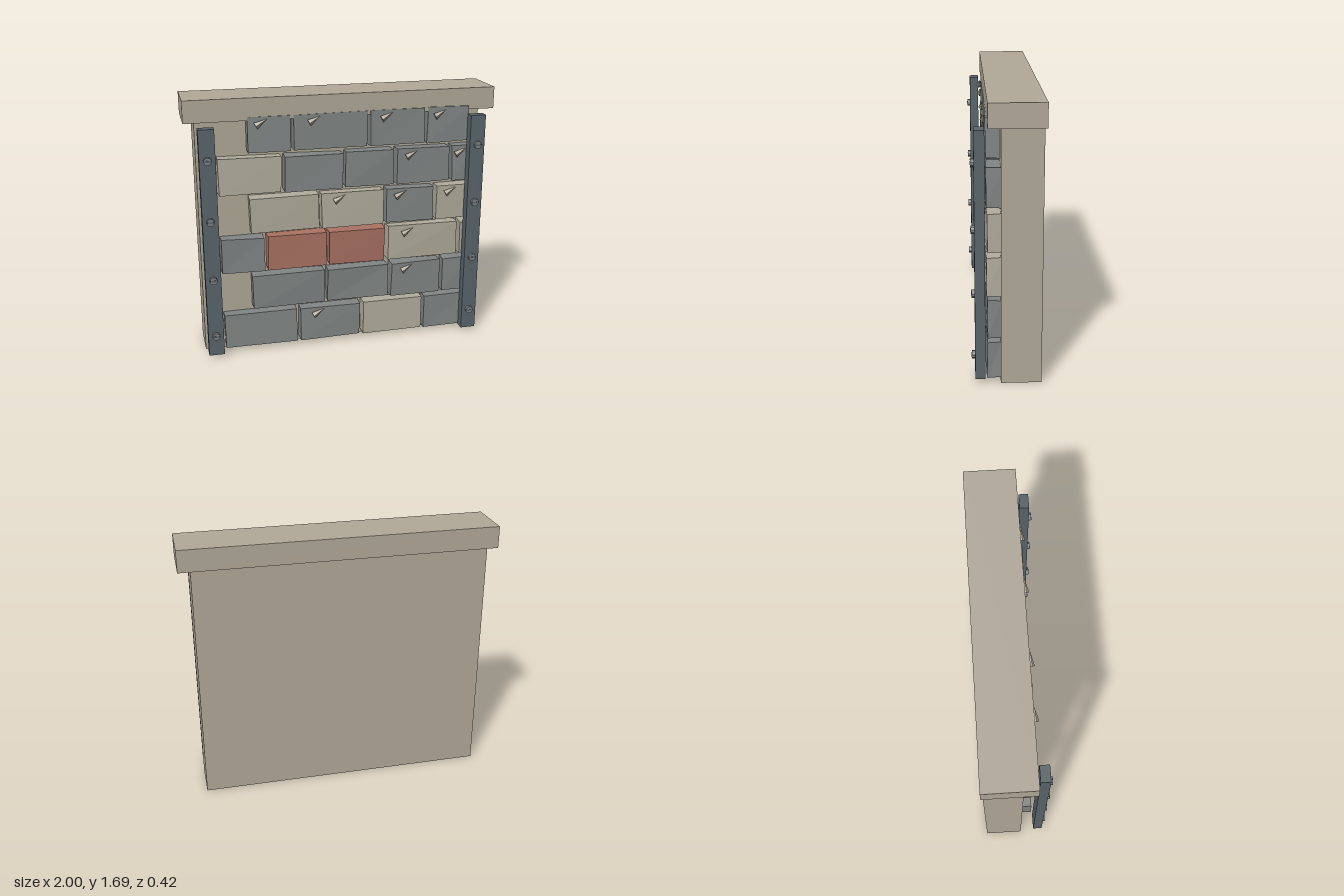
import * as THREE from 'three';

const mat = (name, color) => {
  const m = new THREE.MeshStandardMaterial({ color, flatShading: true });
  m.name = name;
  return m;
};

// small seeded random, -1..1
function seeded(seed) {
  let s = seed;
  return () => {
    s = (s * 16807) % 2147483647;
    return (s / 2147483647) * 2 - 1;
  };
}

export function createModel() {
  const group = new THREE.Group();
  const stone = mat('pale stone', 0xb1a999);
  const G = mat('grey brick', 0x818685);
  const T = mat('tan brick', 0xb1ac9c);
  const R = mat('red brick', 0xa87161);
  const iron = mat('dark iron', 0x59656b);
  const steel = mat('bolt grey', 0x7c8284);
  const rnd = seeded(4217);

  const add = (name, geo, material, x, y, z) => {
    const m = new THREE.Mesh(geo, material);
    m.name = name;
    m.position.set(x, y, z);
    group.add(m);
    return m;
  };
  const box = (name, material, x0, x1, y0, y1, z0, z1) =>
    add(name, new THREE.BoxGeometry(x1 - x0, y1 - y0, z1 - z0), material,
      (x0 + x1) / 2, (y0 + y1) / 2, (z0 + z1) / 2);

  // backing wall and coping
  box('wall', stone, -0.93, 0.925, 0, 1.55, -0.2, 0.04);
  box('coping', stone, -1, 1, 1.55, 1.69, -0.208, 0.115);

  // box whose front corners are nudged to look hand cut
  function brick(material, x0, x1, y0, y1) {
    const m = box('brick', material, x0, x1, y0, y1, 0.035, 0.12);
    const p = m.geometry.attributes.position;
    const corners = {};
    for (let i = 0; i < p.count; i++) {
      const x = p.getX(i), y = p.getY(i), z = p.getZ(i);
      const key = [x > 0, y > 0, z > 0].join();
      corners[key] ??= [rnd() * 0.005, rnd() * 0.005, z > 0 ? rnd() * 0.006 : 0];
      const c = corners[key];
      p.setXYZ(i, x + c[0], y + c[1], z + c[2]);
    }
    m.geometry.computeVertexNormals();
  }

  // courses from the ground up: [left, right, material]
  const courses = [
    [[-0.8, -0.32, G], [-0.3, 0.11, G], [0.135, 0.545, T], [0.567, 0.915, G]],
    [[-0.61, -0.135, G], [-0.112, 0.303, G], [0.327, 0.67, G], [0.693, 0.915, G]],
    [[-0.805, -0.525, G], [-0.505, -0.123, R], [-0.1, 0.277, R], [0.3, 0.78, T], [0.805, 0.915, T]],
    [[-0.61, -0.17, T], [-0.147, 0.26, T], [0.283, 0.61, G], [0.632, 0.915, T]],
    [[-0.805, -0.407, T], [-0.385, -0.01, G], [0.012, 0.327, G], [0.35, 0.705, G], [0.728, 0.915, G]],
    [[-0.61, -0.347, G], [-0.325, 0.15, G], [0.172, 0.53, G], [0.552, 0.83, G]],
  ];
  courses.forEach((row, i) => {
    const y = 0.03 + i * 0.263;
    row.forEach(([a, b, m]) => brick(m, a, b, y, y + 0.23));
  });

  // pointed chips along the upper part of some bricks
  const chips = [
    [-0.525, 1.538], [-0.19, 1.54], [0.28, 1.54], [0.635, 1.538], [0.45, 1.28], [0.785, 1.278],
    [-0.03, 1.015], [0.38, 1.015], [0.725, 1.015], [0.435, 0.752], [0.435, 0.49], [-0.175, 0.228],
  ];
  chips.forEach(([x, y]) => {
    const m = add('chip', new THREE.ConeGeometry(0.024, 0.085, 5), stone, x, y, 0.125);
    m.rotation.z = -Math.PI / 2 + 0.5;
  });

  // iron straps with slotted bolts
  for (const s of [-1, 1]) {
    const x = s * 0.87;
    box('strap', iron, x - 0.05, x + 0.05, 0.025, 1.525, 0.13, 0.19);
    for (let i = 0; i < 4; i++) {
      const y = 0.162 + i * 0.39;
      add('bolt', new THREE.CylinderGeometry(0.025, 0.025, 0.03, 10), steel, x, y, 0.194)
        .rotation.x = Math.PI / 2;
      box('boltSlot', iron, x - 0.023, x + 0.023, y - 0.005, y + 0.005, 0.206, 0.211);
    }
  }
  return group;
}
